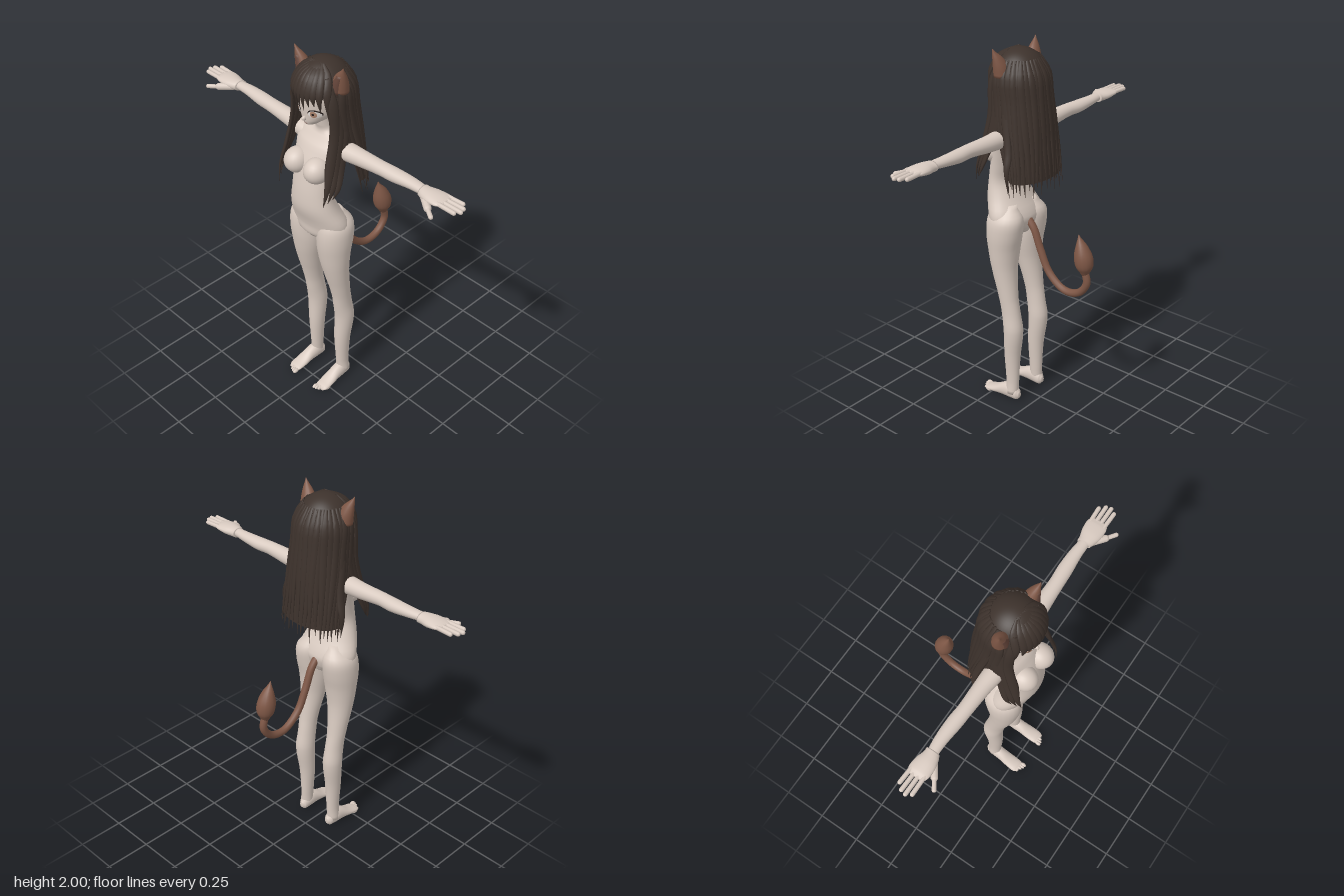
import * as THREE from 'three';
import { mergeGeometries } from 'three/addons/utils/BufferGeometryUtils.js';

const V = (x, y, z) => new THREE.Vector3(x, y, z);
const mat = (name, color, side = THREE.FrontSide) =>
  Object.assign(new THREE.MeshStandardMaterial({ color, side }), { name });

// Rows are [s, a, b, ra, rb] with s rising; cubic lookup at s
function at(rows, s) {
  let i = 0;
  while (i < rows.length - 2 && s > rows[i + 1][0]) i++;
  const t = (s - rows[i][0]) / (rows[i + 1][0] - rows[i][0]);
  const r = k => rows[Math.min(rows.length - 1, Math.max(0, k))];
  return rows[0].map((_, k) => {
    if (k === 0) return s;
    const [p, q, u, v] = [r(i - 1)[k], r(i)[k], r(i + 1)[k], r(i + 2)[k]];
    return q + 0.5 * t * (u - p + t * (2 * p - 5 * q + 4 * u - v + t * (3 * (q - u) + v - p)));
  });
}

// Closed skin over a list of rings that all have the same number of points
function skinRings(rings) {
  const n = rings[0].length, pos = [], idx = [];
  rings.forEach(ring => ring.forEach(p => pos.push(p.x, p.y, p.z)));
  const ends = [rings[0], rings[rings.length - 1]].map(ring => {
    const c = ring.reduce((sum, p) => sum.add(p), V(0, 0, 0)).divideScalar(n);
    pos.push(c.x, c.y, c.z);
    return pos.length / 3 - 1;
  });
  const last = (rings.length - 1) * n;
  for (let j = 0; j < n; j++) {
    const k = (j + 1) % n;
    for (let i = 0; i < last; i += n) idx.push(i + j, i + n + j, i + k, i + k, i + n + j, i + n + k);
    idx.push(ends[0], j, k, ends[1], last + k, last + j);
  }
  const g = new THREE.BufferGeometry();
  g.setAttribute('position', new THREE.Float32BufferAttribute(pos, 3));
  g.setIndex(idx);
  g.computeVertexNormals();
  return g;
}

// Elliptical cross-sections stacked along one axis
const AXES = {
  y: (s, a, b) => V(a, s, b),
  x: (s, a, b) => V(s, a, b),
  z: (s, a, b) => V(a, b, s),
};
function loft(rows, axis = 'y', sides = 24, sub = 4) {
  const rings = [], dir = axis === 'y' ? 1 : -1;
  for (let i = 0; i <= (rows.length - 1) * sub; i++) {
    const k = Math.min(rows.length - 2, Math.floor(i / sub));
    const s = THREE.MathUtils.lerp(rows[k][0], rows[k + 1][0], i / sub - k);
    const [, a, b, ra, rb] = at(rows, s);
    rings.push(Array.from({ length: sides }, (_, j) => {
      const th = (j / sides) * Math.PI * 2;
      return AXES[axis](s, a + Math.max(ra, 0.001) * Math.cos(th), b + dir * Math.max(rb, 0.001) * Math.sin(th));
    }));
  }
  return skinRings(rings);
}

function mirrored(geo) {
  const g = geo.clone().scale(-1, 1, 1), ix = g.index.array;
  for (let i = 0; i < ix.length; i += 3) [ix[i], ix[i + 1]] = [ix[i + 1], ix[i]];
  return g;
}

// Flat tapering lock of hair that faces away from the head axis
function strand(points, width, thick = 0.008, steps = 14) {
  const curve = new THREE.CatmullRomCurve3(points), rings = [];
  for (let i = 0; i <= steps; i++) {
    const t = i / steps, p = curve.getPoint(t), tan = curve.getTangent(t);
    const side = V(0, 0, 0).crossVectors(tan, V(p.x, 0.02, p.z - 0.13).normalize()).normalize();
    const out = V(0, 0, 0).crossVectors(side, tan);
    const f = Math.min(1, 0.4 + t * 3) * Math.min(1, 0.03 + (1 - t) * 2.4);
    rings.push(Array.from({ length: 8 }, (_, j) => {
      const th = (j / 8) * Math.PI * 2;
      return p.clone().addScaledVector(side, width * f * Math.cos(th)).addScaledVector(out, thick * f * Math.sin(th));
    }));
  }
  return skinRings(rings);
}

function finger(from, to, r) {
  const d = to.clone().sub(from);
  return new THREE.CapsuleGeometry(r, d.length(), 4, 10).deleteAttribute('uv')
    .applyQuaternion(new THREE.Quaternion().setFromUnitVectors(V(0, 1, 0), d.clone().normalize()))
    .translate(...from.clone().lerp(to, 0.5).toArray());
}

const ball = (x, y, z, rx, ry, rz) =>
  new THREE.SphereGeometry(1, 24, 16).deleteAttribute('uv').scale(rx, ry, rz).translate(x, y, z);

const HEAD = [
  [1.662, 0, 0.215, 0.008, 0.012], [1.675, 0, 0.2, 0.032, 0.05], [1.7, 0, 0.175, 0.064, 0.083], [1.74, 0, 0.155, 0.093, 0.106],
  [1.8, 0, 0.145, 0.11, 0.12], [1.86, 0, 0.14, 0.114, 0.122], [1.92, 0, 0.135, 0.09, 0.1], [1.96, 0, 0.135, 0.03, 0.03],
];
// Thin oval that follows the face
function facePlate(cx, cy, w, h, off) {
  const g = new THREE.RingGeometry(0, 1, 24, 4), p = g.attributes.position;
  for (let i = 0; i < p.count; i++) {
    const x = cx + p.getX(i) * w, y = cy + p.getY(i) * h, [, , cz, rx, rz] = at(HEAD, y);
    p.setXYZ(i, x, y, cz + rz * Math.sqrt(Math.max(0, 1 - (x / rx) ** 2)) + off);
  }
  g.computeVertexNormals();
  return g;
}

// Back hair outline: y, unused, centre z, half width, depth
const BACK = [
  [1.26, 0, 0.035, 0.178, 0.095], [1.4, 0, 0.055, 0.172, 0.11], [1.6, 0, 0.1, 0.158, 0.14],
  [1.75, 0, 0.125, 0.148, 0.148], [1.86, 0, 0.135, 0.143, 0.143], [1.94, 0, 0.135, 0.1, 0.1],
];
function backPoint(a, y, out = 0) {
  const [, , cz, rx, rz] = at(BACK, y);
  return V((rx + out) * Math.sin(a), y, cz - (rz + out) * Math.cos(a));
}

export function createModel() {
  const model = new THREE.Group();
  const skin = mat('skin', 0xd8cac0), hair = mat('dark hair', 0x3d322c, THREE.DoubleSide);
  const fur = mat('brown fur', 0x7d5645), inner = mat('inner ear', 0x65453a);
  const white = mat('eye white', 0xeee6e0), iris = mat('iris', 0xb58c74), dark = mat('lash', 0x2b2220), lip = mat('lip', 0xa97f76);
  const add = (name, geo, m) => {
    const mesh = new THREE.Mesh(geo, m);
    mesh.name = name;
    model.add(mesh);
  };
  const pair = (name, geo, m) => {
    add('left' + name, geo, m);
    add('right' + name, mirrored(geo), m);
  };

  // Torso and neck
  add('torso', loft([
    [1.0, 0, 0.165, 0.06, 0.07], [1.04, 0, 0.17, 0.14, 0.095], [1.1, 0, 0.17, 0.174, 0.102], [1.2, 0, 0.208, 0.14, 0.092],
    [1.29, 0, 0.222, 0.117, 0.077], [1.38, 0, 0.2, 0.122, 0.085], [1.46, 0, 0.175, 0.135, 0.09], [1.54, 0, 0.15, 0.15, 0.075],
    [1.585, 0, 0.135, 0.13, 0.05], [1.61, 0, 0.13, 0.06, 0.043], [1.64, 0, 0.137, 0.043, 0.042], [1.72, 0, 0.15, 0.042, 0.042],
  ], 'y', 32), skin);
  pair('Chest', ball(0.068, 1.443, 0.25, 0.064, 0.066, 0.072), skin);

  // Legs and feet
  pair('Leg', loft([
    [0.04, 0.104, 0.118, 0.033, 0.036], [0.12, 0.1, 0.118, 0.032, 0.038], [0.28, 0.1, 0.117, 0.042, 0.046], [0.44, 0.104, 0.105, 0.051, 0.055],
    [0.54, 0.104, 0.118, 0.047, 0.054], [0.64, 0.105, 0.135, 0.051, 0.054], [0.8, 0.1, 0.162, 0.07, 0.068],
    [0.92, 0.095, 0.168, 0.086, 0.085], [1.02, 0.097, 0.163, 0.09, 0.1], [1.1, 0.092, 0.158, 0.083, 0.098], [1.17, 0.075, 0.165, 0.04, 0.06],
  ]), skin);
  const toes = [0, 1, 2, 3, 4].map(i =>
    ball(0.08 + i * 0.0145, 0.012, 0.306 - i * i * 0.0025, i ? 0.008 : 0.011, 0.011, 0.019));
  pair('Foot', mergeGeometries([loft([
    [0.07, 0.1, 0.034, 0.012, 0.016], [0.085, 0.1, 0.036, 0.026, 0.034], [0.13, 0.102, 0.047, 0.034, 0.046],
    [0.18, 0.104, 0.04, 0.035, 0.038], [0.23, 0.106, 0.025, 0.039, 0.023], [0.28, 0.107, 0.015, 0.038, 0.013], [0.3, 0.105, 0.012, 0.03, 0.009],
  ], 'z', 20), ...toes]), skin);

  // Arms and hands
  pair('Arm', loft([
    [0.08, 1.535, 0.14, 0.045, 0.05], [0.15, 1.545, 0.14, 0.046, 0.05], [0.25, 1.548, 0.135, 0.041, 0.043], [0.38, 1.555, 0.133, 0.034, 0.037],
    [0.46, 1.555, 0.128, 0.033, 0.038], [0.56, 1.56, 0.125, 0.026, 0.032], [0.66, 1.563, 0.13, 0.02, 0.026],
  ], 'x'), skin);
  const fingers = [0, 1, 2, 3].map(i => finger(
    V(0.74, 1.568, 0.093 + i * 0.024), V([0.828, 0.852, 0.859, 0.842][i], 1.568, 0.088 + i * 0.026), 0.011));
  pair('Hand', mergeGeometries([loft([
    [0.628, 1.56, 0.128, 0.026, 0.036], [0.65, 1.56, 0.132, 0.027, 0.041], [0.69, 1.562, 0.132, 0.026, 0.052],
    [0.74, 1.566, 0.13, 0.018, 0.054], [0.77, 1.568, 0.13, 0.009, 0.045],
  ], 'x', 20), ...fingers,
  finger(V(0.66, 1.552, 0.155), V(0.72, 1.545, 0.198), 0.018), finger(V(0.71, 1.545, 0.192), V(0.768, 1.54, 0.23), 0.011)]), skin);

  // Face
  add('head', loft(HEAD, 'y', 32), skin);
  add('nose', ball(0, 1.712, 0.262, 0.009, 0.012, 0.014), skin);
  add('mouth', facePlate(0, 1.686, 0.014, 0.0025, 0.003), lip);
  for (const s of [1, -1]) {
    const side = s > 0 ? 'left' : 'right';
    add(side + 'Lash', facePlate(s * 0.052, 1.75, 0.029, 0.022, 0.002), dark);
    add(side + 'EyeWhite', facePlate(s * 0.052, 1.746, 0.026, 0.02, 0.004), white);
    add(side + 'Iris', facePlate(s * 0.05, 1.747, 0.014, 0.018, 0.006), iris);
    add(side + 'Pupil', facePlate(s * 0.05, 1.748, 0.005, 0.007, 0.008), dark);
  }

  // Hair cap and fringe
  add('hairCap', new THREE.SphereGeometry(1, 40, 16, 0, Math.PI * 2, 0, Math.PI * 0.48)
    .scale(0.143, 0.147, 0.145).translate(0, 1.836, 0.135), hair);
  const tips = [1.73, 1.775, 1.8, 1.785, 1.775, 1.76, 1.79, 1.8, 1.77, 1.73];
  add('fringe', mergeGeometries(tips.map((tip, i) => {
    const x = -0.118 + i * 0.0262, z = 0.137 + 0.145 * Math.sqrt(1 - (x / 0.15) ** 2);
    return strand([V(x * 0.3, 1.976, 0.17), V(x * 0.8, 1.925, z - 0.03), V(x, 1.85, z), V(x * 1.02, tip, z - 0.008)], 0.019);
  })), hair);

  // Back hair: a curved sheet under overlapping strands
  const sheet = new THREE.PlaneGeometry(1, 1, 32, 16), sp = sheet.attributes.position;
  for (let i = 0; i < sp.count; i++) {
    const p = backPoint(-sp.getX(i) * 3.5, 1.6 + sp.getY(i) * 0.52);
    sp.setXYZ(i, p.x, p.y, p.z);
  }
  sheet.computeVertexNormals();
  add('backHair', sheet, hair);
  const locks = [];
  for (let i = -11; i <= 11; i++) {
    const ys = [1.94, 1.86, 1.75, 1.6, 1.42, 1.285 + 0.025 * Math.sin(i * 2.7)];
    locks.push(strand(ys.map((y, k) => backPoint(i * 0.16 + 0.03 * Math.sin(i * 5 + k), y, 0.003 + 0.003 * (i & 1))), 0.02, 0.009));
  }
  add('backLocks', mergeGeometries(locks), hair);

  // Long locks beside the face
  const sideLocks = [0, 1, 2].map(i => strand([
    V(0.09, 1.935, 0.2 - i * 0.03), V(0.132, 1.82, 0.205 - i * 0.025), V(0.142 + i * 0.006, 1.66, 0.205 - i * 0.03),
    V(0.152 + i * 0.008, 1.5, 0.245 - i * 0.028), V(0.165 + i * 0.012, 1.38, 0.28 - i * 0.025), V(0.155 + i * 0.012, 1.29 + i * 0.02, 0.297 - i * 0.02),
  ], 0.025, 0.011, 20));
  sideLocks.push(strand([V(0.13, 1.88, 0.11), V(0.155, 1.7, 0.1), V(0.18, 1.5, 0.06), V(0.205, 1.4, 0.05), V(0.195, 1.29, 0.05)], 0.02, 0.009, 18));
  pair('SideLocks', mergeGeometries(sideLocks), hair);

  // Ears
  const ear = [
    [1.86, 0.115, 0.143, 0.047, 0.042], [1.91, 0.122, 0.147, 0.043, 0.036], [1.955, 0.138, 0.155, 0.027, 0.022], [2.0, 0.16, 0.165, 0.002, 0.002],
  ];
  pair('Ear', loft(ear, 'y', 16), fur);
  pair('InnerEar', loft(ear.slice(0, 3).map(([y, x, z, rx, rz]) => [y, x, z + rz * 0.42, rx * 0.65, rz * 0.7]), 'y', 16), inner);

  // Tail with tuft
  const path = [[0.085, 1.08], [0.045, 1.03], [0, 0.92], [-0.06, 0.805], [-0.16, 0.738], [-0.25, 0.755], [-0.302, 0.825], [-0.287, 0.9]];
  add('tail', new THREE.TubeGeometry(new THREE.CatmullRomCurve3(path.map(([z, y]) => V(0, y, z))), 48, 0.02, 12), fur);
  add('tailTuft', loft([
    [0.875, 0, -0.289, 0.02, 0.02], [0.92, 0, -0.285, 0.045, 0.046], [0.975, 0, -0.278, 0.047, 0.049],
    [1.03, 0, -0.266, 0.03, 0.03], [1.085, 0, -0.247, 0.002, 0.002],
  ], 'y', 14), fur);
  return model;
}
